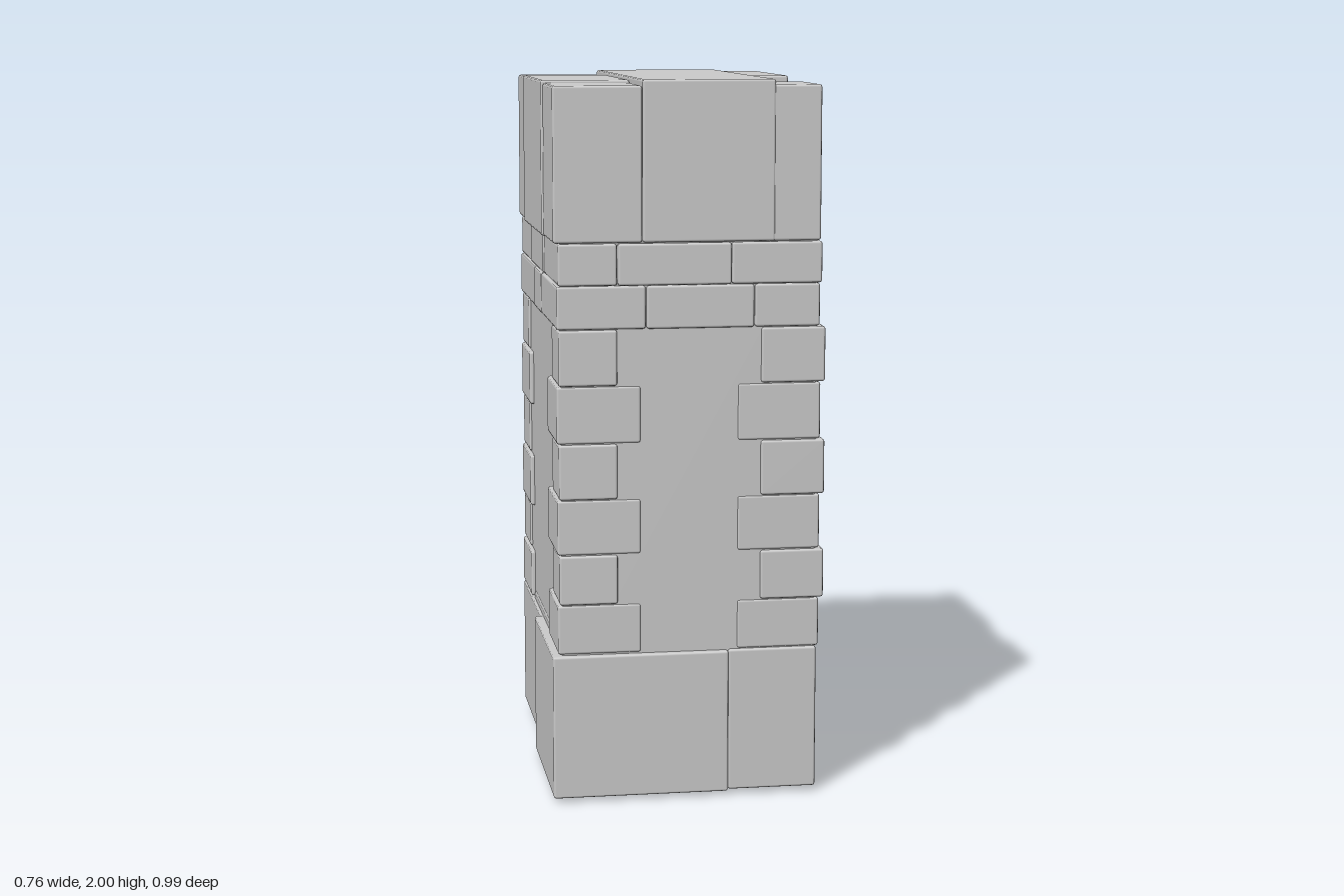
import * as THREE from 'three';
import { RoundedBoxGeometry } from 'three/addons/geometries/RoundedBoxGeometry.js';

export function createModel() {
  const group = new THREE.Group();
  group.name = 'stonePillar';
  const mat = new THREE.MeshStandardMaterial({ color: 0xcccccc });

  // Softly chamfered stone given by its extents
  function stone(name, [x0, x1], [y0, y1], [z0, z1], r = 0.007) {
    const geo = new RoundedBoxGeometry(x1 - x0, y1 - y0, z1 - z0, 1, r);
    const m = new THREE.Mesh(geo, mat);
    m.position.set((x0 + x1) / 2, (y0 + y1) / 2, (z0 + z1) / 2);
    m.name = name;
    group.add(m);
    return m;
  }

  // Plain shaft behind the corner stones
  stone('shaft', [-0.355, 0.355], [0.3, 1.6], [-0.477, 0.477], 0.004);
  // Sloping ledge on top of the base
  stone('baseLedge', [-0.358, 0.36], [0.35, 0.445], [-0.24, 0.24], 0.012);

  // Base blocks
  stone('baseFrontLeft', [0.11, 0.36], [0.015, 0.42], [-0.243, 0.488]);
  stone('baseBackLeft', [0.111, 0.366], [0.012, 0.42], [-0.492, -0.245]);
  stone('baseFrontRight', [-0.383, 0.11], [0.012, 0.418], [0, 0.495]);
  stone('baseBackMiddle', [-0.25, 0.109], [0, 0.418], [-0.485, 0.005]);
  stone('baseBackRight', [-0.366, -0.2], [0.035, 0.418], [-0.485, 0.005]);

  // Interlocking corner stones: alternate courses are short or long on the faces
  const courses = [0.42, 0.56, 0.7, 0.855, 1.01, 1.17, 1.325];
  for (let i = 0; i < 6; i++) {
    const short = i % 2 === 1;
    const y = [courses[i] + 0.001, courses[i + 1] - 0.001];
    for (const sx of [-1, 1]) {
      for (const sz of [-1, 1]) {
        const outX = short ? (sx > 0 ? 0.379 : 0.362) : 0.367;
        const inX = short ? 0.2 : 0.135;
        const outZ = short ? 0.486 : 0.481;
        const inZ = short ? 0.317 : 0.243;
        stone('cornerStone',
          sx > 0 ? [inX, outX] : [-outX, -inX], y,
          sz > 0 ? [inZ, outZ] : [-outZ, -inZ]);
      }
    }
  }

  // Two full courses under the cap: eight stones around the shaft
  function ringCourse(name, y, xs, zs, bulge) {
    for (let i = 0; i < 3; i++) {
      for (let j = 0; j < 3; j++) {
        if (i === 1 && j === 1) continue;
        const x = [xs[i] + 0.001, xs[i + 1] - 0.001];
        const z = [zs[j] + 0.001, zs[j + 1] - 0.001];
        if (i === 1) z[j === 0 ? 0 : 1] += (j === 0 ? -1 : 1) * bulge;
        if (j === 1) x[i === 0 ? 0 : 1] += (i === 0 ? -1 : 1) * bulge * 0.4;
        stone(name, x, y, z);
      }
    }
  }
  ringCourse('lowerCourseStone', [1.326, 1.444], [-0.367, -0.12, 0.18, 0.364], [-0.493, -0.1, 0.09, 0.485], 0.004);
  ringCourse('upperCourseStone', [1.446, 1.56], [-0.364, -0.2, 0.115, 0.368], [-0.485, -0.2, 0.14, 0.493], 0.006);

  // Cap: three blocks along the right edge
  const capY = 1.562;
  stone('capRightBack', [-0.37, -0.131], [capY, 1.987], [-0.488, -0.245]);
  stone('capRightMiddle', [-0.38, -0.131], [capY, 1.992], [-0.245, 0.245]);
  stone('capRightFront', [-0.375, -0.131], [capY, 1.984], [0.245, 0.49]);
  // Cap: large block, with two lower stones let into its front left corner
  stone('capMain', [-0.13, 0.235], [capY, 2], [-0.494, 0.491]);
  stone('capLeftBack', [0.2, 0.367], [capY, 1.995], [-0.491, 0]);
  stone('capLeftMiddle', [0.22, 0.36], [capY, 1.965], [-0.01, 0.243]);
  stone('capLeftFront', [0.22, 0.363], [capY, 1.985], [0.24, 0.489]);

  return group;
}
